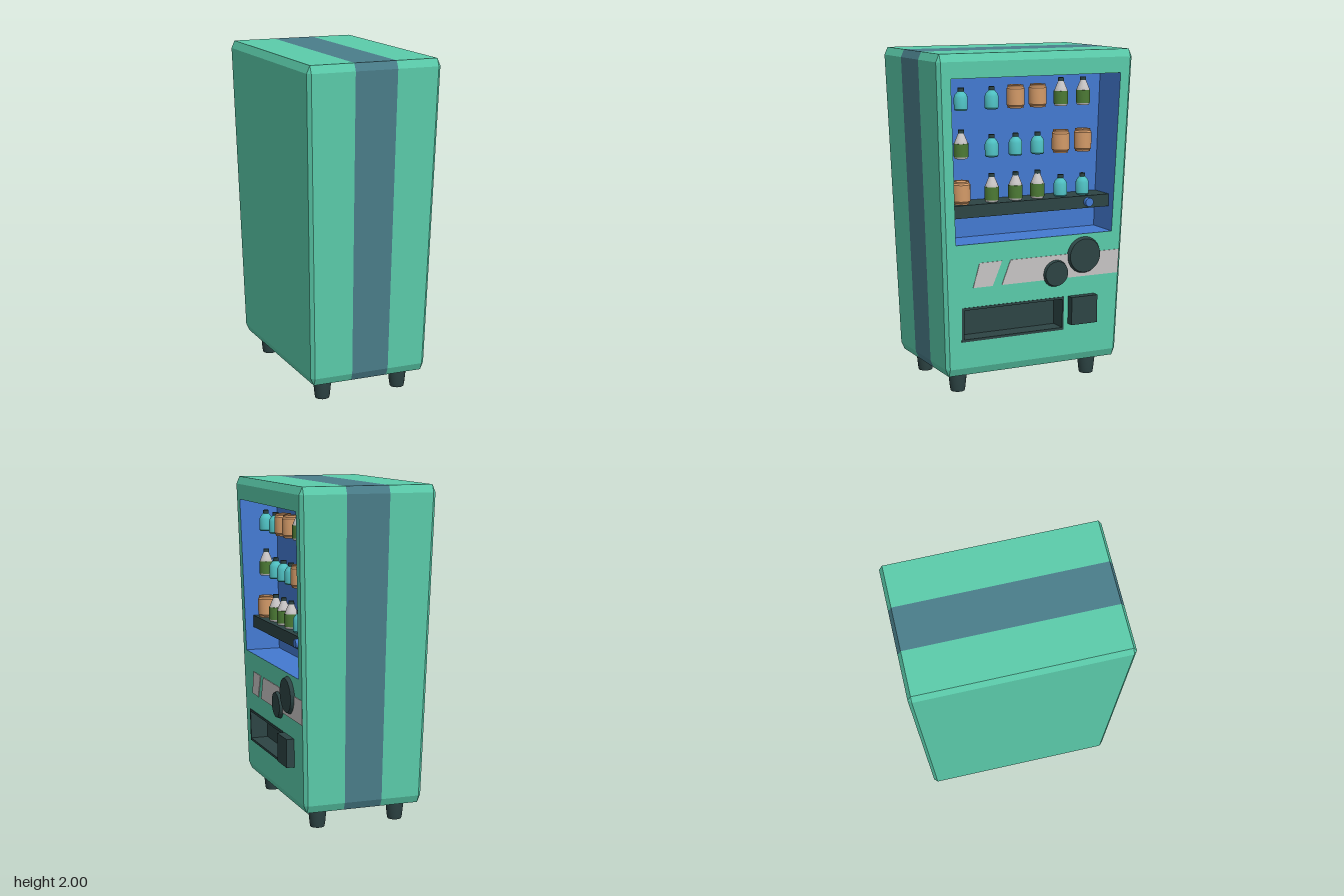
import * as THREE from 'three';
import { toCreasedNormals } from 'three/addons/utils/BufferGeometryUtils.js';

const mat = (name, color) => new THREE.MeshStandardMaterial({ name, color });

export function createModel() {
  const green = mat('cabinet green', 0x5bccab), slate = mat('stripe slate', 0x4a7e8a);
  const blue = mat('interior blue', 0x4379d0), dark = mat('dark trim', 0x2d4444);
  const white = mat('off white', 0xc8c5c5), tan = mat('can tan', 0xd39a68);
  const teal = mat('bottle teal', 0x4fc0c2), leaf = mat('label green', 0x4c7a35);

  const model = new THREE.Group();
  model.name = 'vendingMachine';
  const add = (name, geo, material, parent = model) => {
    const mesh = new THREE.Mesh(geo, material);
    mesh.name = name;
    parent.add(mesh);
    return mesh;
  };
  // Flat-shaded mesh from quads, corners counter-clockwise seen from outside
  const quads = (list) => {
    const p = [];
    for (const [a, b, c, d] of list) p.push(...a, ...b, ...c, ...a, ...c, ...d);
    const geo = new THREE.BufferGeometry();
    geo.setAttribute('position', new THREE.Float32BufferAttribute(p, 3));
    geo.computeVertexNormals();
    return geo;
  };
  // The sloping door plane: u runs across (-z), d is the distance in front of it
  const faceX = (y) => 0.36 + (y - 0.165) * 0.045 / 1.79;
  const onDoor = (geo) => {
    const p = geo.attributes.position;
    for (let i = 0; i < p.count; i++) {
      const u = p.getX(i), y = p.getY(i), d = p.getZ(i);
      p.setXYZ(i, faceX(y) + d, y, -u);
    }
    geo.computeVertexNormals();
    return geo;
  };
  const poly = (pts, Type = THREE.Shape) => new Type(pts.map(([x, y]) => new THREE.Vector2(x, y)));

  // Cabinet: tapered block with bevelled edges, c is the bevel of the upright edges
  const ring = (y, hx, hz, s, c) => {
    const a = hx - c, b = hz - c;
    return [[-a, hz], [-s, hz], [s, hz], [a, hz], [hx, b], [hx, -b],
      [a, -hz], [s, -hz], [-s, -hz], [-a, -hz], [-hx, -b], [-hx, b]]
      .map(([x, z], i) => [x - ([1, 2, 7, 8].includes(i) ? 0 : 0.005), y, z]);
  };
  const rings = [
    ring(0.12, 0.345, 0.547, 0.114, 0),
    ring(0.165, 0.365, 0.567, 0.115, 0.02),
    ring(1.955, 0.41, 0.633, 0.13, 0.02),
    ring(2, 0.39, 0.613, 0.13, 0),
  ];
  const shell = [], band = [];
  for (let k = 0; k < 3; k++) {
    const lo = rings[k], hi = rings[k + 1];
    for (let i = 0; i < 12; i++) {
      if (k === 1 && i === 4) continue; // the door is made separately
      const j = (i + 1) % 12;
      (i === 1 || i === 7 ? band : shell).push([lo[i], lo[j], hi[j], hi[i]]);
    }
  }
  for (let i = 0; i < 3; i++) {
    const t = rings[3], b = rings[0];
    (i === 1 ? band : shell).push([t[i], t[i + 1], t[8 - i], t[9 - i]]);
    shell.push([b[9 - i], b[8 - i], b[i + 1], b[i]]);
  }
  add('cabinet', quads(shell), green);
  add('cabinetStripe', quads(band), slate);

  // Door with openings for the display and the delivery slot
  const display = [[-0.515, 0.905], [0.515, 0.905], [0.55, 1.86], [-0.55, 1.86]];
  const slot = [[-0.46, 0.34], [0.185, 0.34], [0.185, 0.515], [-0.46, 0.515]];
  const door = poly([[-0.547, 0.165], [0.547, 0.165], [0.613, 1.955], [-0.613, 1.955]]);
  door.holes.push(poly(display, THREE.Path), poly(slot, THREE.Path));
  add('door', onDoor(new THREE.ShapeGeometry(door)), green);

  // Recesses: four walls and a back
  const recess = (name, loop, backX, material) => {
    const f = loop.map(([u, y]) => [faceX(y), y, -u]);
    const b = loop.map(([u, y]) => [backX, y, -u]);
    const list = [b];
    for (let i = 0; i < 4; i++) {
      const j = (i + 1) % 4;
      list.push([f[i], f[j], b[j], b[i]]);
    }
    add(name, quads(list), material);
  };
  recess('displayInterior', display, 0.16, blue);
  recess('deliverySlot', slot, 0.26, dark);

  // Thin plates on the door
  const plate = (name, pts, material, hole) => {
    const s = poly(pts);
    if (hole) s.holes.push(poly(hole, THREE.Path));
    const geo = new THREE.ExtrudeGeometry(s, { depth: 0.004, bevelEnabled: false });
    add(name, onDoor(geo), material);
  };
  plate('slotFrame', [[-0.475, 0.325], [0.195, 0.325], [0.195, 0.53], [-0.475, 0.53]], dark, slot);
  plate('shortPanelStripe', [[-0.405, 0.645], [-0.28, 0.645], [-0.22, 0.79], [-0.365, 0.79]], white);
  plate('longPanelStripe', [[-0.22, 0.645], [0.562, 0.645], [0.567, 0.79], [-0.165, 0.79]], white);

  // Round dials and coin box
  const dial = (name, u, y, r) => {
    const geo = new THREE.CylinderGeometry(r * 0.9, r, 0.024, 32).toNonIndexed();
    geo.rotateX(Math.PI / 2).translate(u, y, 0.01);
    add(name, onDoor(geo), dark);
  };
  dial('largeDial', 0.325, 0.775, 0.113);
  dial('smallDial', 0.135, 0.68, 0.083);
  add('coinBox', new THREE.BoxGeometry(0.065, 0.17, 0.175), dark).position.set(0.3825, 0.445, -0.313);

  // Shelf with a button
  add('shelf', new THREE.BoxGeometry(0.17, 0.075, 1.042), dark).position.set(0.245, 1.0875, 0);
  const button = new THREE.CylinderGeometry(0.026, 0.028, 0.03, 20).rotateZ(-Math.PI / 2);
  add('shelfButton', button, blue).position.set(0.34, 1.087, -0.375);

  // Goods, turned from profiles
  const lathe = (pts) => toCreasedNormals(
    new THREE.LatheGeometry(pts.map(([r, y]) => new THREE.Vector2(r, y)), 18), 0.6);
  const cap = (y) => lathe([[0, y], [0.018, y], [0.018, y + 0.02], [0, y + 0.02]]);
  const smallBody = lathe([[0, 0], [0.034, 0], [0.04, 0.008], [0.04, 0.075], [0.034, 0.09], [0.016, 0.112], [0, 0.112]]);
  const smallCap = cap(0.11);
  const tallBody = lathe([[0, 0], [0.036, 0], [0.04, 0.008], [0.04, 0.09], [0.034, 0.105], [0.016, 0.148], [0, 0.148]]);
  const tallLabel = lathe([[0.039, 0.012], [0.043, 0.012], [0.043, 0.088], [0.039, 0.088]]);
  const tallCap = cap(0.146);
  const canBody = lathe([[0, 0], [0.046, 0], [0.046, 0.008], [0.053, 0.018], [0.053, 0.114],
    [0.046, 0.124], [0.046, 0.134], [0.042, 0.134], [0.042, 0.13], [0, 0.13]]);
  const goods = {
    S: ['smallBottle', [['body', smallBody, teal], ['cap', smallCap, dark]]],
    W: ['tallBottle', [['body', tallBody, white], ['label', tallLabel, leaf], ['cap', tallCap, dark]]],
    C: ['can', [['body', canBody, tan]]],
  };
  const columns = [0.43, 0.235, 0.08, -0.065, -0.22, -0.37];
  [['SSCCWW', 1.668], ['WSSSCC', 1.39], ['CWWWSS', 1.126]].forEach(([row, y]) => {
    [...row].forEach((kind, i) => {
      const [name, parts] = goods[kind];
      const item = new THREE.Group();
      item.name = name;
      for (const [part, geo, material] of parts) add(name + ' ' + part, geo, material, item);
      item.position.set(0.27, y, columns[i]);
      model.add(item);
    });
  });

  // Tapered feet
  const foot = lathe([[0, 0], [0.042, 0], [0.046, 0.02], [0.056, 0.115], [0.056, 0.125]]);
  for (const x of [-0.255, 0.235])
    for (const z of [0.445, -0.427]) add('foot', foot, dark).position.set(x, 0, z);

  return model;
}
